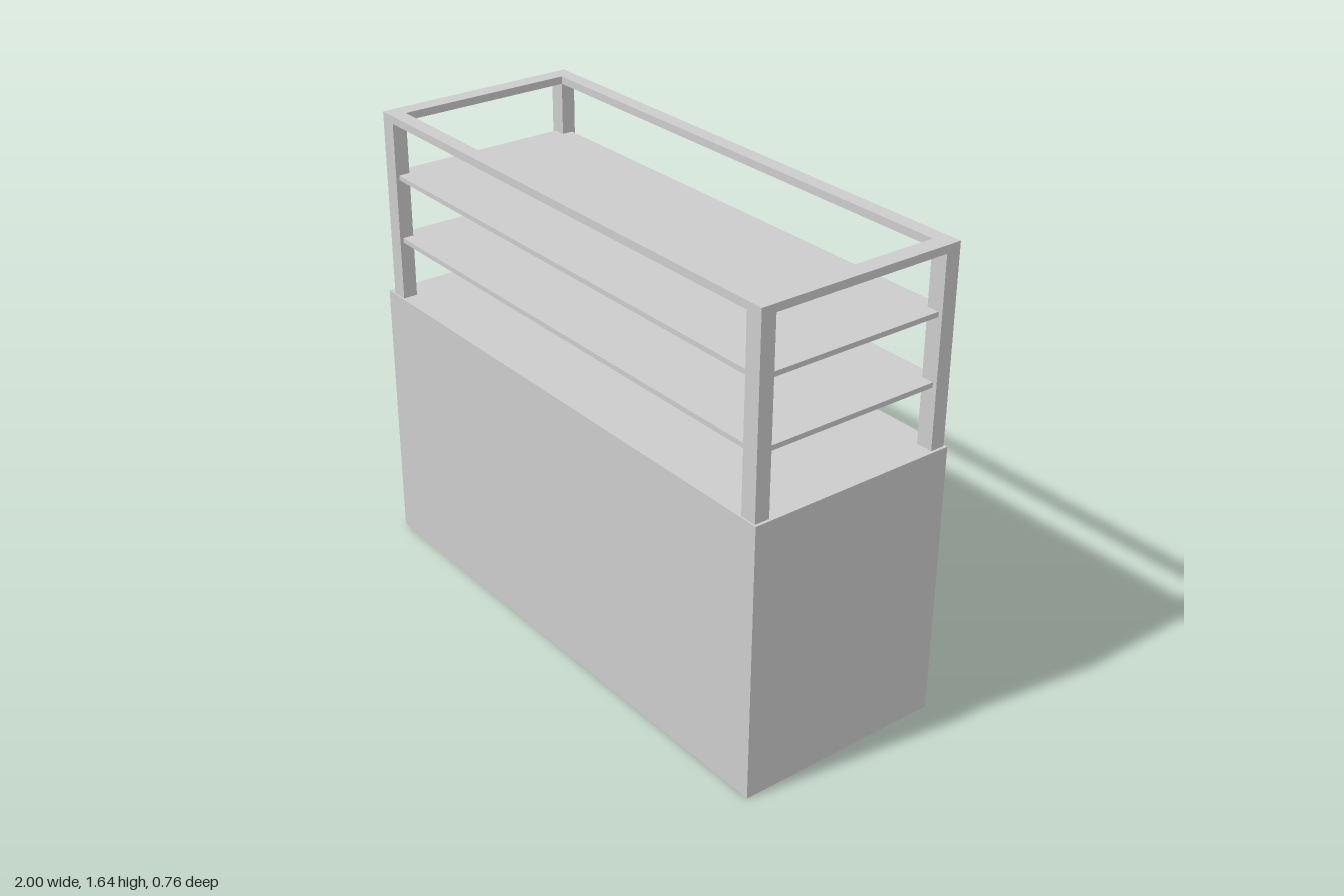
import * as THREE from 'three';

const material = new THREE.MeshStandardMaterial({ color: 0xcccccc, flatShading: true });

// Box given by its lower and upper limits on each axis
function box(name, [x0, x1], [y0, y1], [z0, z1]) {
  const mesh = new THREE.Mesh(new THREE.BoxGeometry(x1 - x0, y1 - y0, z1 - z0), material);
  mesh.position.set((x0 + x1) / 2, (y0 + y1) / 2, (z0 + z1) / 2);
  mesh.name = name;
  return mesh;
}

function rectangle(Type, x0, x1, z) {
  const r = new Type();
  r.moveTo(x0, -z);
  r.lineTo(x1, -z);
  r.lineTo(x1, z);
  r.lineTo(x0, z);
  r.closePath();
  return r;
}

export function createModel() {
  const model = new THREE.Group();
  model.name = 'displayCounter';

  const baseTop = 0.967, railBottom = 1.61, top = 1.637;
  const outer = { x0: -0.97, x1: 0.99, z: 0.372 };
  const inner = { x0: -0.91, x1: 0.93, z: 0.32 };

  // Solid counter base
  model.add(box('base', [-1, 1], [0, baseTop], [-0.378, 0.378]));

  // Four corner posts
  for (const [side, xs] of [['right', [outer.x0, inner.x0]], ['left', [inner.x1, outer.x1]]]) {
    model.add(box(side + 'FrontPost', xs, [baseTop, railBottom], [inner.z, outer.z]));
    model.add(box(side + 'BackPost', xs, [baseTop, railBottom], [-outer.z, -inner.z]));
  }

  // Open rectangular top frame
  const shape = rectangle(THREE.Shape, outer.x0, outer.x1, outer.z);
  shape.holes.push(rectangle(THREE.Path, inner.x0, inner.x1, inner.z));
  const frameGeometry = new THREE.ExtrudeGeometry(shape, { depth: top - railBottom, bevelEnabled: false });
  frameGeometry.rotateX(-Math.PI / 2);
  const frame = new THREE.Mesh(frameGeometry, material);
  frame.position.y = railBottom;
  frame.name = 'topFrame';
  model.add(frame);

  // Two thin shelves let into the posts
  [['lowerShelf', 1.176], ['upperShelf', 1.406]].forEach(([name, y]) => {
    model.add(box(name, [outer.x0 + 0.015, outer.x1 - 0.015], [y, y + 0.017], [-0.36, 0.36]));
  });

  return model;
}
